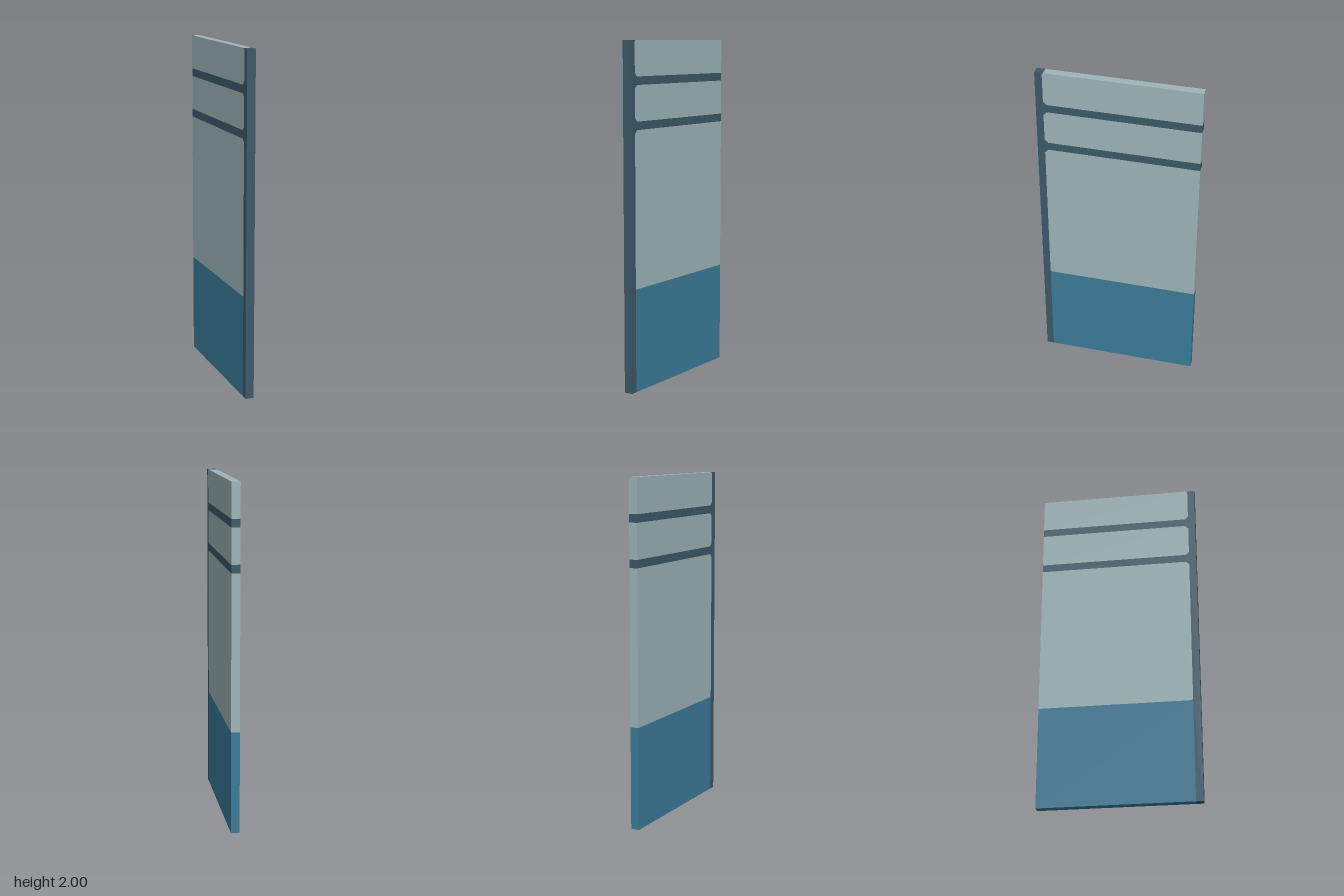
import * as THREE from 'three';

const WIDTH = 0.05, BACK = -0.473, FRONT = 0.473, INNER = 0.43;

export function createModel() {
  const group = new THREE.Group();
  const frameMat = new THREE.MeshStandardMaterial({ color: 0x3d5a68 });
  frameMat.name = 'dark slate';
  const panelMat = new THREE.MeshStandardMaterial({ color: 0x9db5b9 });
  panelMat.name = 'pale grey green';
  const baseMat = new THREE.MeshStandardMaterial({ color: 0x3b7c9a });
  baseMat.name = 'blue';

  // Extrude a (z, y) outline across the thickness of the slab
  function slab(name, points, material) {
    const shape = new THREE.Shape(points.map(([z, y]) => new THREE.Vector2(z, y)));
    const geo = new THREE.ExtrudeGeometry(shape, { depth: WIDTH, bevelEnabled: false });
    geo.rotateY(-Math.PI / 2).translate(WIDTH / 2, 0, 0);
    const mesh = new THREE.Mesh(geo, material);
    mesh.name = name;
    group.add(mesh);
  }

  // Panels from bottom to top: y range and the cut at each front corner
  const panels = [
    { name: 'basePanel', y0: 0, y1: 0.6, c0: 0, c1: 0, mat: baseMat },
    { name: 'mainPanel', y0: 0.6, y1: 1.503, c0: 0.008, c1: 0.02, mat: panelMat },
    { name: 'middlePanel', y0: 1.55, y1: 1.753, c0: 0.02, c1: 0.02, mat: panelMat },
    { name: 'topPanel', y0: 1.8, y1: 2, c0: 0.02, c1: 0.007, mat: panelMat },
  ];

  // Front post and the two rails form one outline around the panels
  const frame = [[FRONT, 2], [FRONT, 0]];
  panels.forEach(({ name, y0, y1, c0, c1, mat }, i) => {
    const edge = [[INNER - c0, y0]];
    if (c0) edge.push([INNER, y0 + c0]);
    if (c1) edge.push([INNER, y1 - c1]);
    edge.push([INNER - c1, y1]);
    slab(name, [[BACK, y0], ...edge, [BACK, y1]], mat);

    const gapBelow = i > 0 && y0 > panels[i - 1].y1;
    const gapAbove = i < panels.length - 1 && panels[i + 1].y0 > y1;
    if (gapBelow) frame.push([BACK, y0]);
    frame.push(...edge.filter(([z, y]) => !(i === 1 && z === INNER && y === y0)));
    if (gapAbove) frame.push([BACK, y1]);
  });
  slab('postAndRails', frame, frameMat);

  return group;
}
